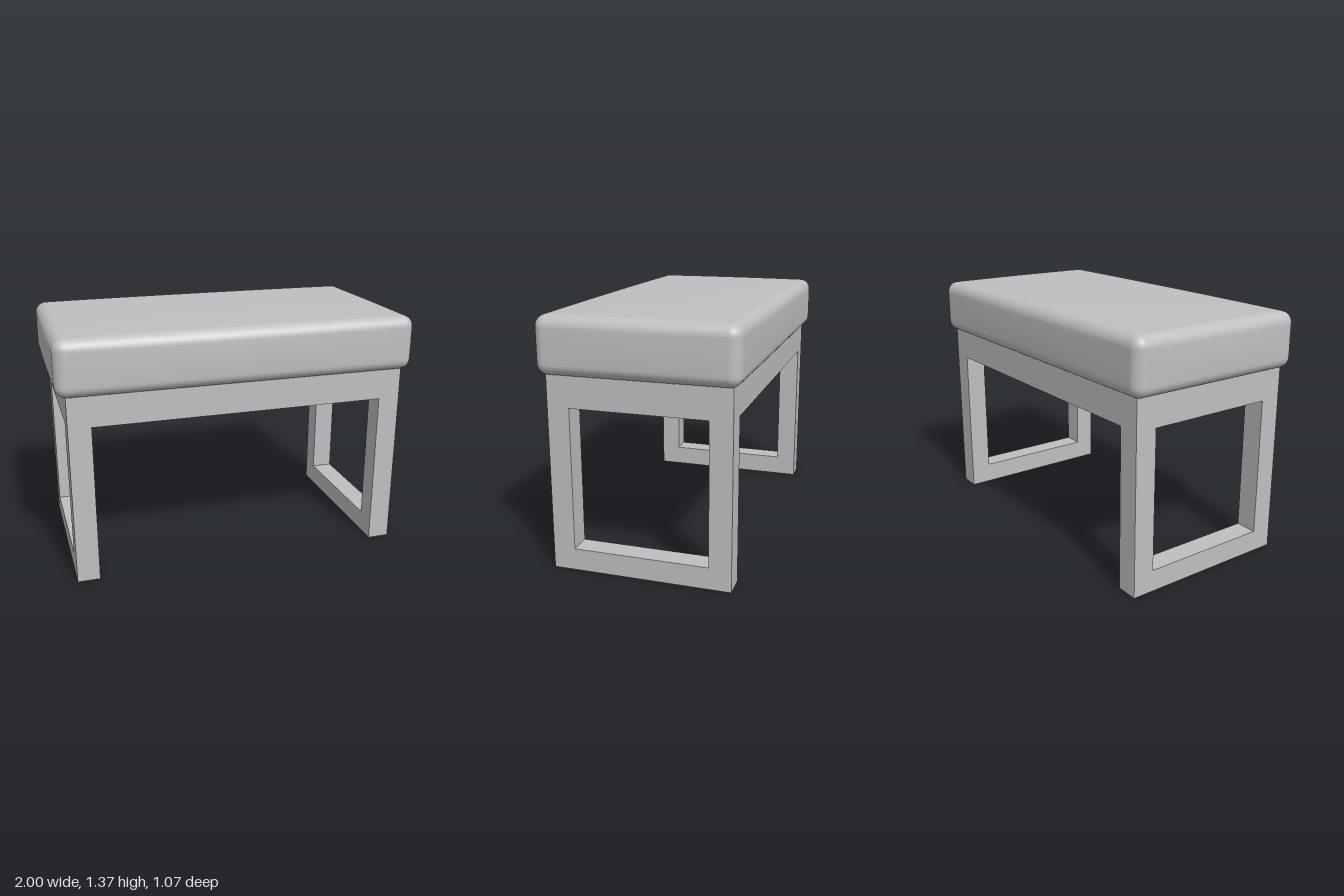
import * as THREE from 'three';
import { mergeVertices } from 'three/addons/utils/BufferGeometryUtils.js';

// Rounded, slightly puffed block made by reshaping a gridded box
function cushionGeometry(hx, hy, hz, r, puff) {
  const n = 22, k = 6;
  let g = new THREE.BoxGeometry(2, 2, 2, n, n, n);
  g.deleteAttribute('uv');
  g.deleteAttribute('normal');
  g = mergeVertices(g, 1e-4);
  const pos = g.attributes.position;
  const half = [hx, hy, hz];
  // Crowd grid lines into the rounded edges
  const remap = (t, h) => {
    const i = Math.round((t + 1) / 2 * n);
    if (i <= k) return -h + r * i / k;
    if (i >= n - k) return h - r * (n - i) / k;
    return -h + r + (2 * h - 2 * r) * (i - k) / (n - 2 * k);
  };
  const d = new THREE.Vector3();
  for (let i = 0; i < pos.count; i++) {
    const p = [0, 1, 2].map(a => remap(pos.getComponent(i, a), half[a]));
    const core = p.map((v, a) => THREE.MathUtils.clamp(v, -half[a] + r, half[a] - r));
    d.set(p[0] - core[0], p[1] - core[1], p[2] - core[2]).normalize();
    const q = [core[0] + r * d.x, core[1] + r * d.y, core[2] + r * d.z];
    const [fx, fy, fz] = q.map((v, a) => Math.max(0, 1 - (v / half[a]) ** 2));
    q[0] += puff * d.x * fy * fz;
    q[2] += puff * d.z * fy * fx;
    if (d.y > 0) q[1] += 0.012 * d.y * Math.sqrt(fx * fz);
    pos.setXYZ(i, ...q);
  }
  g.computeVertexNormals();
  return g;
}

export function createModel() {
  const model = new THREE.Group();
  model.name = 'bench';
  const grey = new THREE.MeshStandardMaterial({ color: 0xbfbfbf });
  grey.name = 'light grey';

  // Box between two corners
  const bar = (name, x0, x1, y0, y1, z0, z1) => {
    const mesh = new THREE.Mesh(new THREE.BoxGeometry(x1 - x0, y1 - y0, z1 - z0), grey);
    mesh.name = name;
    mesh.position.set((x0 + x1) / 2, (y0 + y1) / 2, (z0 + z1) / 2);
    model.add(mesh);
  };

  const xi = 0.818, xo = 0.942, zi = 0.367, zo = 0.487, top = 1.065, apron = 0.89;
  for (const s of [-1, 1]) {
    const x0 = s > 0 ? xi : -xo, x1 = s > 0 ? xo : -xi;
    const z0 = s > 0 ? zi : -zo, z1 = s > 0 ? zo : -zi;
    const side = s > 0 ? 'left' : 'right';
    // Legs and rails of one end frame
    bar(side + 'FrontLeg', x0, x1, 0, top, zi, zo);
    bar(side + 'BackLeg', x0, x1, 0, top, -zo, -zi);
    bar(side + 'FootRail', x0, x1, 0, 0.12, -zi, zi);
    bar(side + 'Apron', x0, x1, apron, top, -zi, zi);
    // Long apron
    bar(s > 0 ? 'frontApron' : 'backApron', -xi, xi, apron, top, z0, z1);
  }

  // Padded seat
  const seat = new THREE.Mesh(cushionGeometry(0.993, 0.152, 0.528, 0.06, 0.007), grey);
  seat.name = 'seatCushion';
  seat.position.y = 1.21;
  model.add(seat);
  return model;
}
